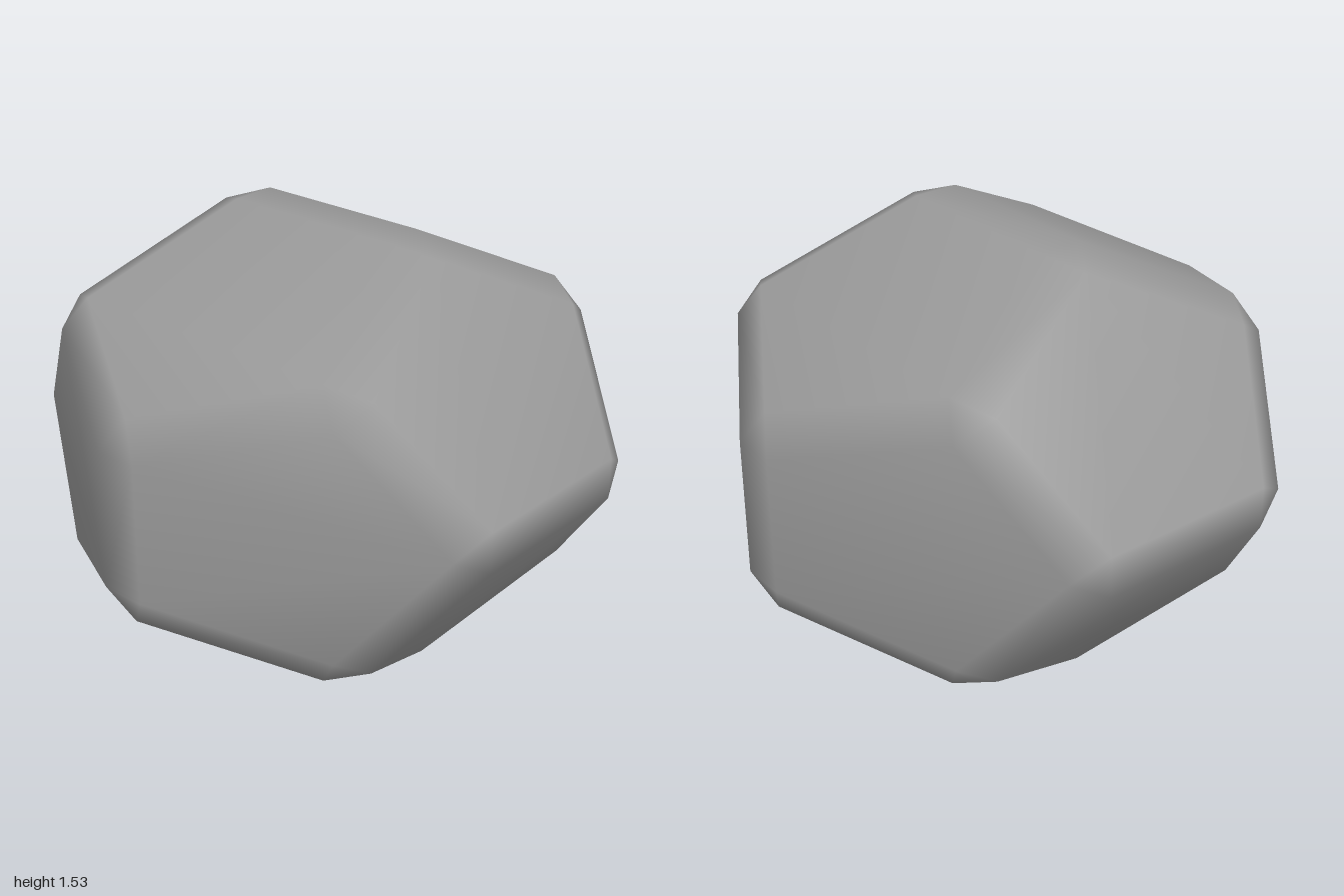
import * as THREE from 'three';
import { ConvexGeometry } from 'three/addons/geometries/ConvexGeometry.js';
import { mergeVertices } from 'three/addons/utils/BufferGeometryUtils.js';

const PHI = (1 + Math.sqrt(5)) / 2;
const HALF_EDGE = 0.381; // half the edge of the dodecahedron before bevelling
const SQUASH = 0.806;    // vertical flattening
const BEVEL = 0.09;      // how far each face is inset from its edges

// Pulls every corner of a polygon inwards so its sides move by a fixed distance
function inset(corners, distance) {
  const n = corners.length;
  return corners.map((p, i) => {
    const a = corners[(i + 1) % n].clone().sub(p).normalize();
    const b = corners[(i + n - 1) % n].clone().sub(p).normalize();
    const k = distance / a.clone().cross(b).length();
    return p.clone().addScaledVector(a.add(b), k);
  });
}

// Corners of the twelve inset pentagons
function bevelledCorners() {
  const h = HALF_EDGE, s = h * PHI, p = s * PHI;
  const turn = Math.atan(1 / PHI); // one pair of faces looks along x
  const c = Math.cos(turn), d = Math.sin(turn);
  const points = [];
  for (let axis = 0; axis < 3; axis++) {
    for (const a of [1, -1]) for (const b of [1, -1]) {
      const pentagon = [
        [h, p * a, 0], [s, s * a, s * b], [0, h * a, p * b], [-s, s * a, s * b], [-h, p * a, 0],
      ].map((q) => {
        const [u, y, v] = [0, 1, 2].map((i) => q[(i + axis) % 3]);
        return new THREE.Vector3(u * d + v * c, y * SQUASH, u * c - v * d);
      });
      points.push(...inset(pentagon, BEVEL));
    }
  }
  return points;
}

export function createModel() {
  const group = new THREE.Group();
  group.name = 'bevelledStone';
  const stoneGrey = new THREE.MeshStandardMaterial({ color: 0x999999 });
  stoneGrey.name = 'stoneGrey';

  // The hull closes the faces with bevel strips; shared corners give smooth normals
  let geometry = new ConvexGeometry(bevelledCorners());
  geometry.deleteAttribute('normal');
  geometry = mergeVertices(geometry, 1e-4);
  geometry.computeVertexNormals();
  geometry.computeBoundingBox();
  geometry.translate(0, -geometry.boundingBox.min.y, 0);

  const stone = new THREE.Mesh(geometry, stoneGrey);
  stone.name = 'stone';
  group.add(stone);
  return group;
}
